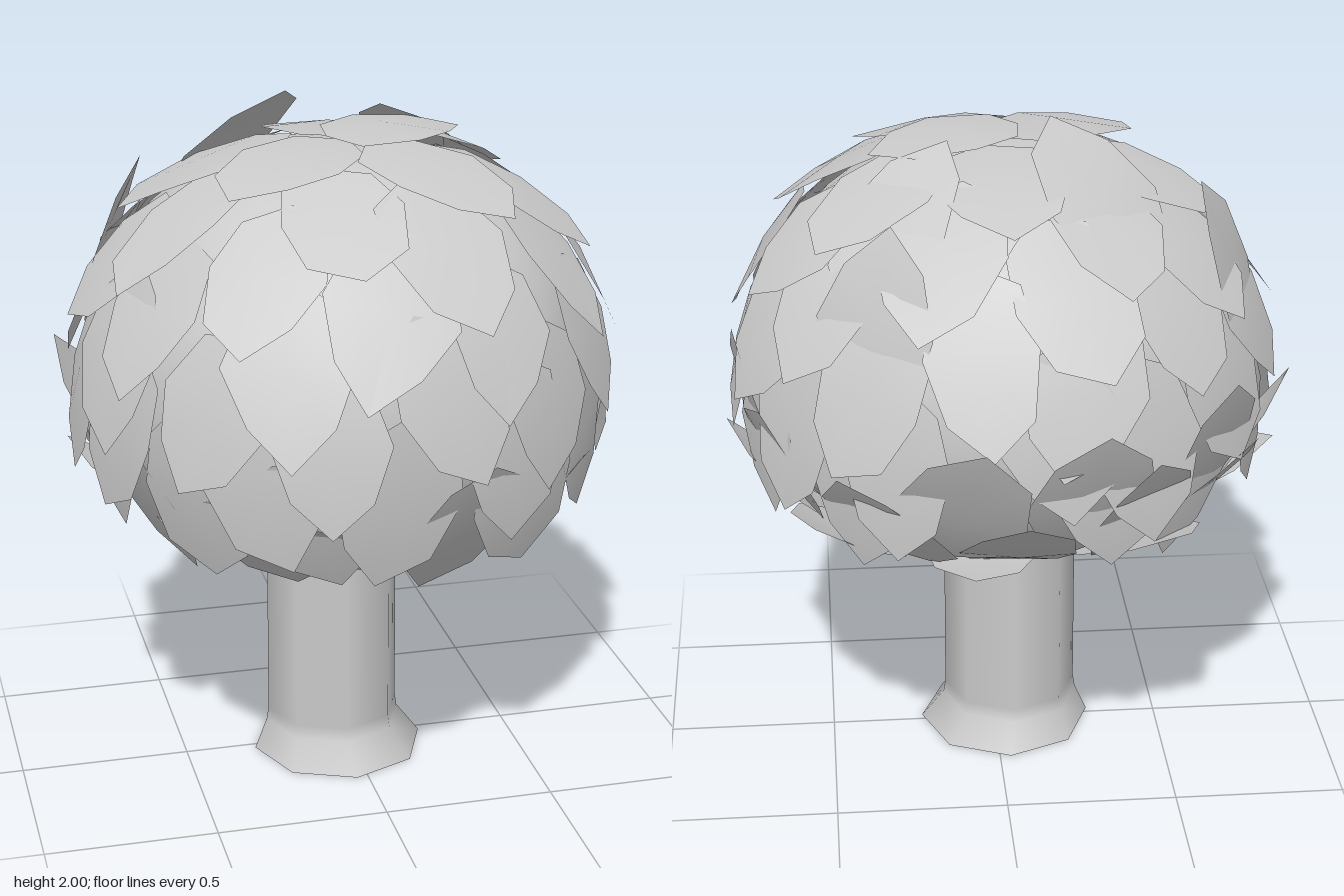
import * as THREE from 'three';

const material = new THREE.MeshStandardMaterial({ color: 0xcccccc, side: THREE.DoubleSide });

// Crown profile: t runs from 0 (top) to PI (bottom); the underside is broad and flat
function profile(t) {
  const s = Math.max(0, Math.sin(t)), c = Math.cos(t);
  return c > 0
    ? new THREE.Vector2(0.725 * Math.pow(s, 0.88), 1.25 + 0.63 * c)
    : new THREE.Vector2(0.725 * Math.pow(s, 0.45), 1.25 + 0.45 * c);
}

function seeded(seed) {
  return () => {
    seed = (seed * 16807) % 2147483647;
    return seed / 2147483647;
  };
}

// One slightly cupped, irregular eight-sided leaf, tip towards -y
function leafGeometry(rand) {
  const sides = 8;
  const g = new THREE.CircleGeometry(1, sides, -Math.PI / 2);
  const p = g.attributes.position;
  const width = 0.155 + 0.035 * rand();
  const length = 0.215 + 0.04 * rand();
  const radii = Array.from({ length: sides }, (_, k) => (k === 0 ? 1.15 : 0.9 + 0.2 * rand()));
  for (let i = 1; i < p.count; i++) {
    const r = radii[(i - 1) % sides];
    const x = p.getX(i) * r * width, y = p.getY(i) * r * length;
    p.setXYZ(i, x, y, -0.5 * (x * x + y * y));
  }
  g.computeVertexNormals();
  return g;
}

// Leaf seated on the crown at polar angle t and azimuth a; lift raises its tip
function makeLeaf(rand, t, a, roll, lift, offset) {
  const at = profile(t);
  const d = profile(t + 0.01).sub(profile(t - 0.01)).normalize();
  const up = new THREE.Vector3(-d.x * Math.cos(a), -d.y, -d.x * Math.sin(a));
  const normal = new THREE.Vector3(-d.y * Math.cos(a), d.x, -d.y * Math.sin(a));
  const side = new THREE.Vector3().crossVectors(up, normal);

  const leaf = new THREE.Mesh(leafGeometry(rand), material);
  leaf.name = 'leaf';
  leaf.quaternion.setFromRotationMatrix(new THREE.Matrix4().makeBasis(side, up, normal));
  leaf.position.set(at.x * Math.cos(a), at.y, at.x * Math.sin(a)).addScaledVector(normal, offset);
  leaf.rotateZ(roll);
  leaf.rotateX(-lift);
  leaf.rotateY(0.06 * (rand() - 0.5));
  return leaf;
}

export function createModel() {
  const model = new THREE.Group();
  model.name = 'tree';

  // Trunk with flared, open foot set slightly off the shaft's axis
  const trunkGeometry = new THREE.LatheGeometry([
    new THREE.Vector2(0.258, 0),
    new THREE.Vector2(0.205, 0.09),
    new THREE.Vector2(0.199, 0.13),
    new THREE.Vector2(0.197, 0.9),
  ], 8);
  const p = trunkGeometry.attributes.position;
  for (let i = 0; i < p.count; i++) {
    if (p.getY(i) < 0.01) p.setXYZ(i, p.getX(i) + 0.015, 0, p.getZ(i) + 0.008);
  }
  const trunk = new THREE.Mesh(trunkGeometry, material);
  trunk.name = 'trunk';
  trunk.position.set(-0.048, 0, 0.015);
  model.add(trunk);

  const foliage = new THREE.Group();
  foliage.name = 'foliage';
  foliage.position.set(-0.03, 0, 0.01);
  model.add(foliage);

  // Smooth inner crown, listed bottom to top so faces point outwards
  const points = [];
  for (let i = 0; i <= 24; i++) points.push(profile(Math.PI * (1 - i / 24)));
  const crown = new THREE.Mesh(new THREE.LatheGeometry(points, 32), material);
  crown.name = 'crown';
  foliage.add(crown);

  // Overlapping leaves spread over the crown: most hang, low ones at the back curl up
  const rand = seeded(4271);
  const count = 80;
  for (let i = 0; i < count; i++) {
    const t = Math.acos(1 - 2 * (i + 0.5) / count);
    const a = i * Math.PI * (3 - Math.sqrt(5)) + 0.25 * (rand() - 0.5);
    const curlsUp = t > 2 && Math.sin(a) < 0.1;
    const roll = (curlsUp ? Math.PI : 0) + 0.8 * (rand() - 0.5);
    const lift = 0.07 + 0.08 * rand() + (t > 1.5 && t < 2.1 ? 0.06 : 0);
    foliage.add(makeLeaf(rand, t, a, roll, lift, 0.028 + 0.015 * rand() + 0.012 * Math.cos(a)));
  }

  // Raised leaves along the back and the sides, tips upwards: [t, a, lift]
  const raised = [
    [0.55, -2.2, 0.28], [0.65, -0.8, 0.1], [1.1, -2.75, 0.2], [1.1, -0.95, 0.22],
    [1.95, -1.83, 0.22], [1.85, -2.37, 0.2], [1.8, -0.2, 0.12],
  ];
  for (const [t, a, lift] of raised) foliage.add(makeLeaf(rand, t, a, Math.PI, lift, 0.04));

  return model;
}
